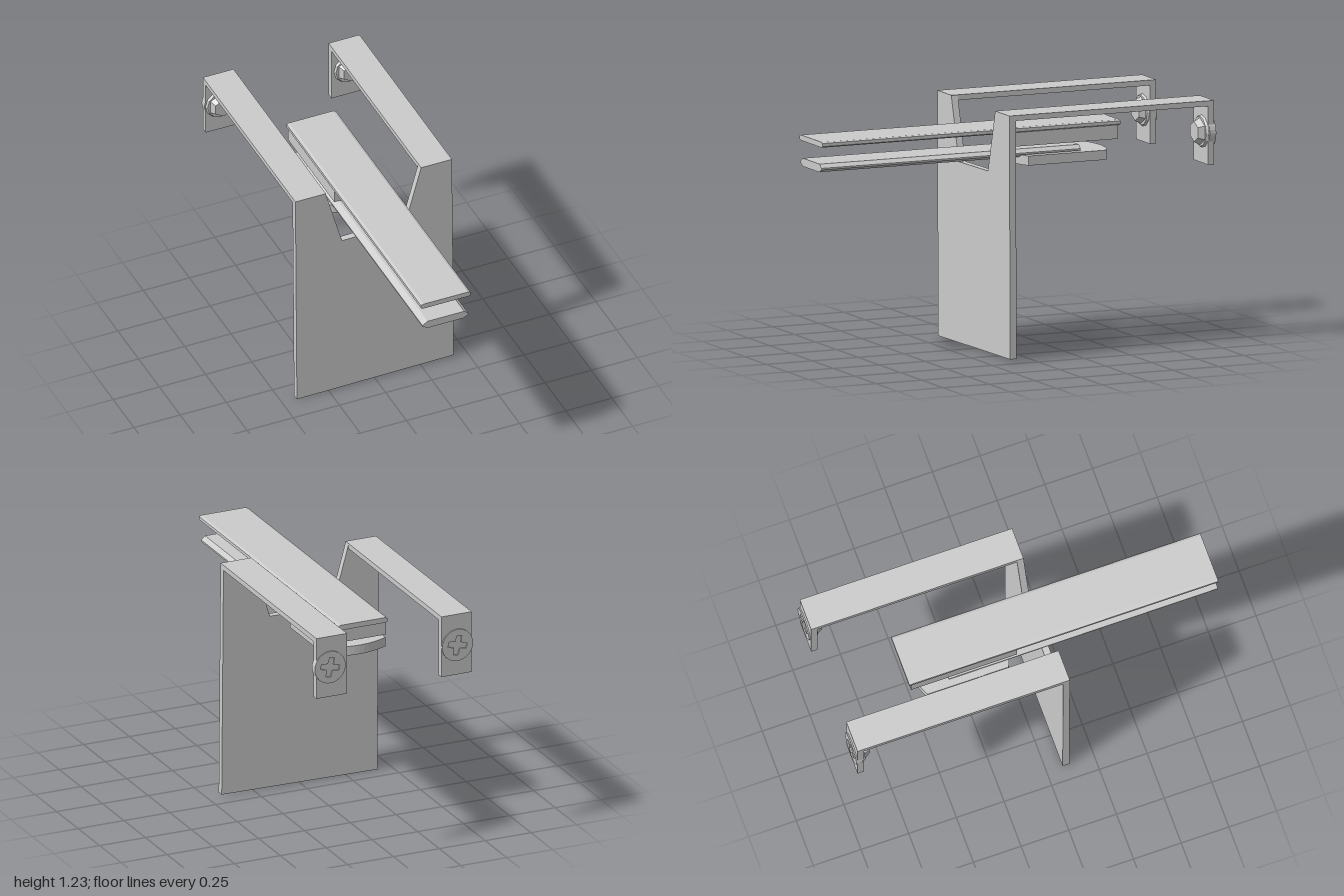
import * as THREE from 'three';

const material = new THREE.MeshStandardMaterial({ color: 0xcccccc, flatShading: true });

function add(parent, name, geometry, x = 0, y = 0, z = 0) {
  const mesh = new THREE.Mesh(geometry, material);
  mesh.name = name;
  mesh.position.set(x, y, z);
  parent.add(mesh);
  return mesh;
}

const shapeOf = (points) => new THREE.Shape(points.map(([x, y]) => new THREE.Vector2(x, y)));

// Extrudes an xy profile from z0 to z1.
function prism(points, z0, z1) {
  const geometry = new THREE.ExtrudeGeometry(shapeOf(points), { depth: z1 - z0, bevelEnabled: false });
  return geometry.translate(0, 0, z0);
}

// Box given by its limits on each axis.
function box(x0, x1, y0, y1, z0, z1) {
  return new THREE.BoxGeometry(x1 - x0, y1 - y0, z1 - z0)
    .translate((x0 + x1) / 2, (y0 + y1) / 2, (z0 + z1) / 2);
}

// Cross-head screw facing -z, with a hexagonal nut on the inner side.
function createScrew() {
  const screw = new THREE.Group();
  screw.name = 'screw';
  const head = new THREE.Shape();
  head.absarc(0, 0, 0.084, 0, Math.PI * 2);
  const cross = [];
  for (let i = 0; i < 4; i++) {
    const a = i * Math.PI / 2 + 0.2;
    for (const [r, da] of [[0.053, -0.25], [0.053, 0.25], [0.023, Math.PI / 4]]) {
      cross.push(new THREE.Vector2(r * Math.cos(a + da), r * Math.sin(a + da)));
    }
  }
  head.holes.push(new THREE.Path(cross));
  add(screw, 'screwHead', new THREE.ExtrudeGeometry(head, {
    depth: 0.035, bevelEnabled: false, curveSegments: 16,
  }), 0, 0, -1);
  const turn = (geometry) => geometry.rotateX(Math.PI / 2);
  add(screw, 'nutFlange', turn(new THREE.CylinderGeometry(0.075, 0.082, 0.012, 12)), 0, 0, -0.955);
  add(screw, 'nut', turn(new THREE.CylinderGeometry(0.052, 0.07, 0.035, 6)), 0, 0, -0.935);
  return screw;
}

export function createModel() {
  const model = new THREE.Group();
  model.name = 'bracketWithStrips';

  // Upright plate with a tapered notch
  add(model, 'plate', prism([
    [-0.422, 0], [0.427, 0.01], [0.417, 1.227], [0.25, 1.225], [0.165, 0.914],
    [-0.178, 0.908], [-0.265, 1.222], [-0.43, 1.222],
  ], 0.085, 0.12));

  // Two arms running back, each with a drop tab and a screw
  for (const [x0, x1, screwX] of [[-0.43, -0.265, -0.35], [0.25, 0.417, 0.345]]) {
    const arm = new THREE.Group();
    arm.name = 'arm';
    add(arm, 'armBar', box(x0, x1, 1.2, 1.227, -0.99, 0.12));
    add(arm, 'armTab', box(x0, x1, 0.907, 1.227, -0.993, -0.96));
    const screw = createScrew();
    screw.position.set(screwX, 1.065, 0);
    arm.add(screw);
    model.add(arm);
  }

  // Upper strip with eased edges and its block
  add(model, 'upperStrip', prism([
    [-0.137, 1.084], [0.112, 1.084], [0.121, 1.09], [0.121, 1.106],
    [0.108, 1.111], [-0.132, 1.111], [-0.146, 1.106], [-0.146, 1.09],
  ], -0.62, 1));
  add(model, 'upperBlock', box(-0.142, 0.118, 1.016, 1.086, -0.61, -0.053));

  // Lower strip with bevelled sides
  add(model, 'lowerStrip', prism([
    [-0.108, 0.957], [0.083, 0.957], [0.11, 0.972], [0.11, 0.98],
    [0.088, 0.998], [-0.11, 0.998], [-0.138, 0.98], [-0.138, 0.972],
  ], -0.41, 1));

  // Lower block: straight sides and bowed ends
  const outline = [];
  for (const side of [1, -1]) {
    for (let i = 0; i <= 12; i++) {
      const t = side * (1 - i / 6);
      outline.push([-0.015 + 0.16 * t, 0.3225 + side * (0.2525 - 0.04 * t * t)]);
    }
  }
  const block = new THREE.ExtrudeGeometry(shapeOf(outline), { depth: 0.048, bevelEnabled: false });
  block.rotateX(-Math.PI / 2);
  add(model, 'lowerBlock', block, 0, 0.921, 0);

  // Dished rivet under the lower block
  const rim = [[0, 0.003], [0.03, 0.003], [0.034, -0.005], [0.042, -0.005], [0.042, 0.008]];
  const rivet = new THREE.LatheGeometry(rim.map(([r, y]) => new THREE.Vector2(r, y - 0.001)), 20);
  add(model, 'rivet', rivet, -0.013, 0.92, -0.32);

  return model;
}
